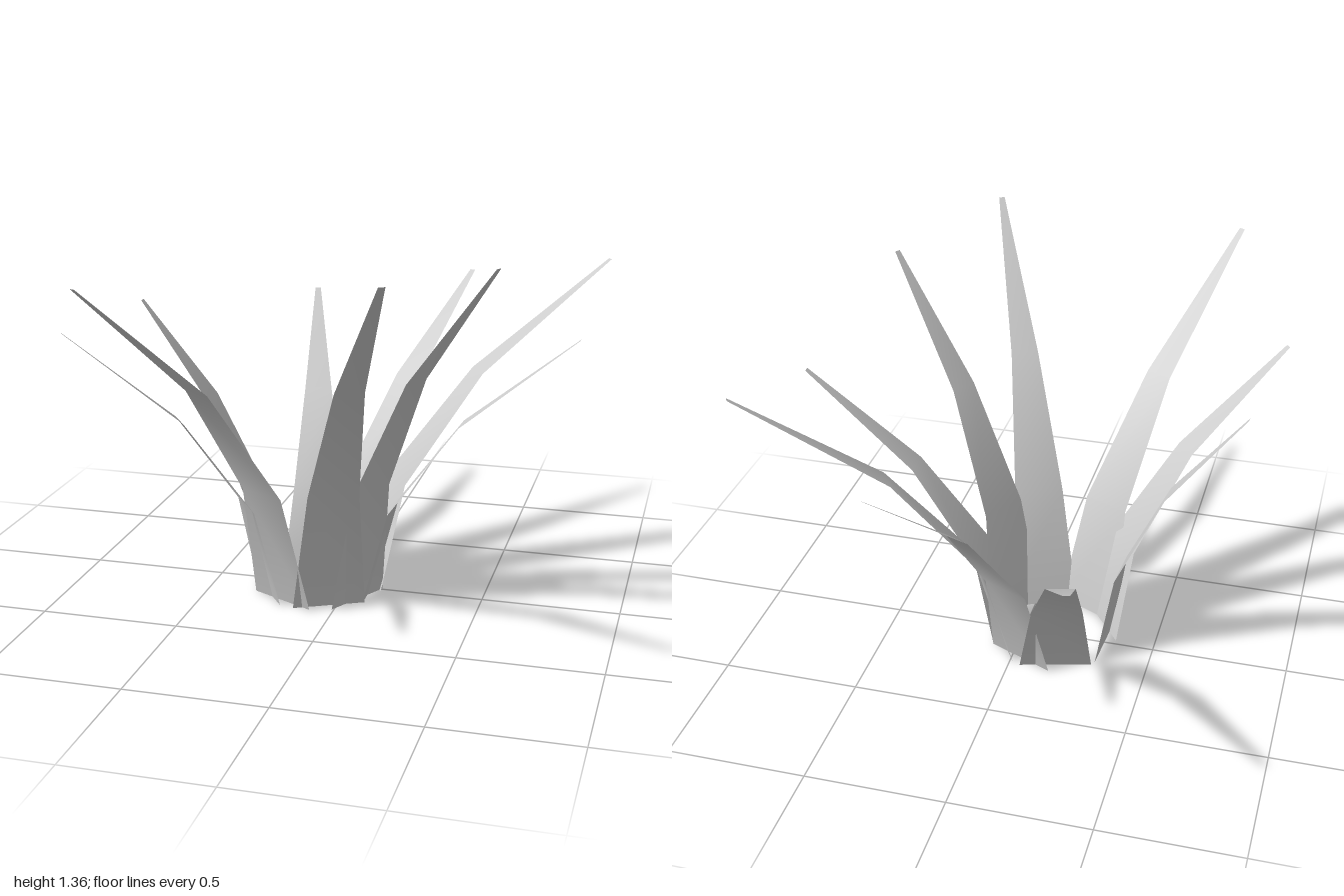
import * as THREE from 'three';

// Blade tips [x, y, z]; every blade leans straight out from the clump's centre
const TIPS = [
  [0.82, 1.0, 0.01], [0.598, 1.32, 0.42], [0.345, 1.36, 0.952],
  [-0.602, 1.31, 0.995], [-0.855, 1.05, 0.55], [-0.795, 1.04, -0.03],
  [-0.398, 0.9, -1.0], [0.283, 1.04, -0.868], [0.853, 1.17, -0.577],
];
const CENTRE = { x: -0.115, z: 0.01 };
const RING = 0.2;          // radius of the ring the blades grow from
const SEGMENTS = 3;
const BASE_WIDTH = 0.265;
const TIP_WIDTH = 0.022;

// Flat tapering strip that rises evenly and curves outward
function bladeGeometry([tx, ty, tz]) {
  const dx = tx - CENTRE.x, dz = tz - CENTRE.z;
  const reach = Math.hypot(dx, dz);
  const ux = dx / reach, uz = dz / reach;
  const positions = [], index = [];
  for (let i = 0; i <= SEGMENTS; i++) {
    const t = i / SEGMENTS;
    const r = RING + (reach - RING) * t * t;
    const half = THREE.MathUtils.lerp(BASE_WIDTH, TIP_WIDTH, t) / 2;
    for (const side of [1, -1]) {
      positions.push(
        CENTRE.x + ux * r - uz * half * side,
        ty * t,
        CENTRE.z + uz * r + ux * half * side);
    }
    if (i < SEGMENTS) {
      const a = i * 2;
      index.push(a, a + 2, a + 1, a + 1, a + 2, a + 3);
    }
  }
  const geometry = new THREE.BufferGeometry();
  geometry.setAttribute('position', new THREE.Float32BufferAttribute(positions, 3));
  geometry.setIndex(index);
  geometry.computeVertexNormals();
  return geometry;
}

export function createModel() {
  const group = new THREE.Group();
  group.name = 'grassClump';
  const material = new THREE.MeshStandardMaterial({ color: 0xcccccc, side: THREE.DoubleSide });
  material.name = 'light grey';
  TIPS.forEach((tip, i) => {
    const blade = new THREE.Mesh(bladeGeometry(tip), material);
    blade.name = `blade${i + 1}`;
    group.add(blade);
  });
  return group;
}
